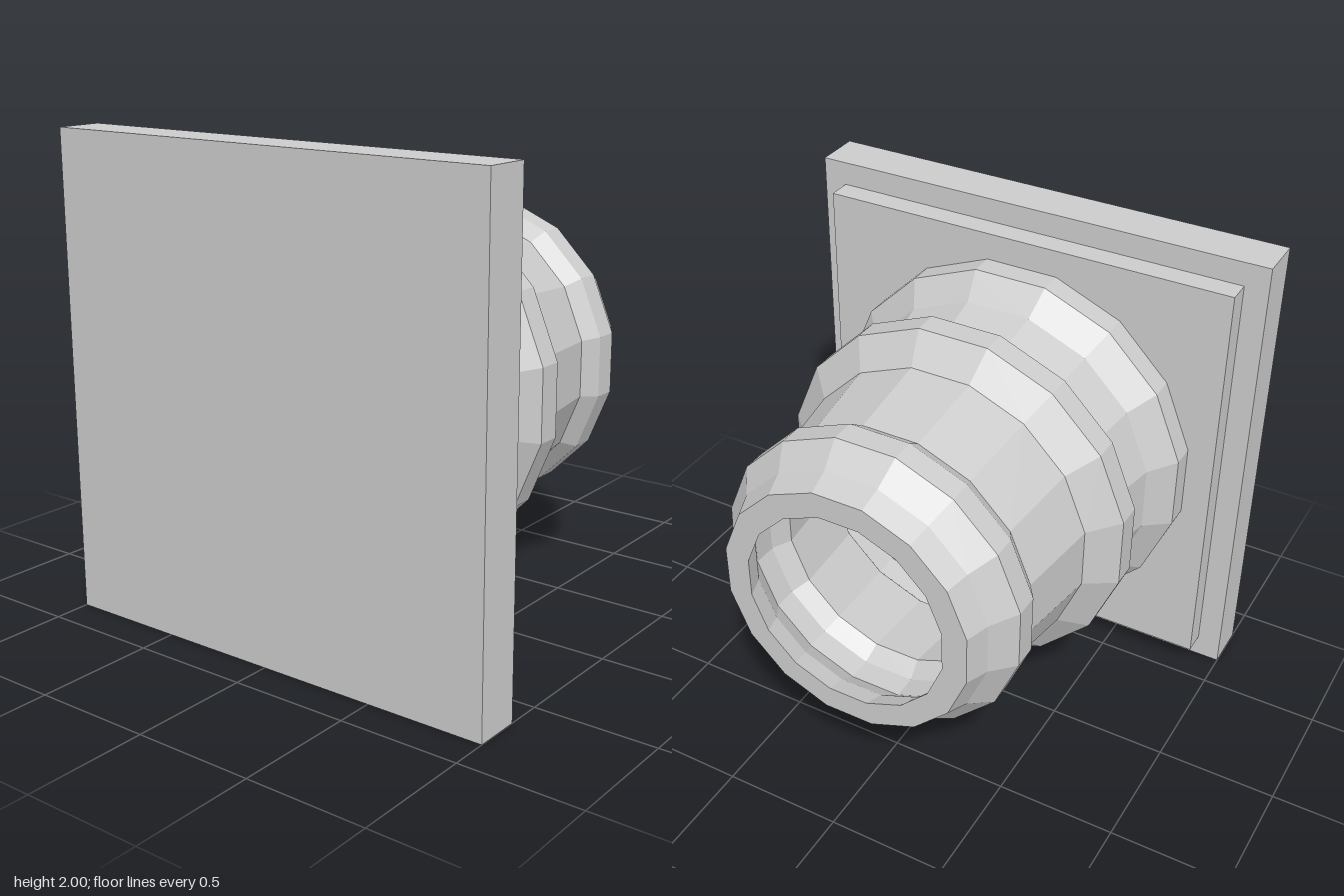
import * as THREE from 'three';

const SIDES = 16;
const WALL = 0.105;

export function createModel() {
  const model = new THREE.Group();
  const grey = new THREE.MeshStandardMaterial({ color: 0xcccccc });
  grey.name = 'plain grey';

  function add(name, geometry, z) {
    const mesh = new THREE.Mesh(geometry, grey);
    mesh.name = name;
    mesh.position.set(0, 1, z);
    model.add(mesh);
  }

  // Square base plate and its smaller step
  add('basePlate', new THREE.BoxGeometry(2, 2, 0.195), 0.7475);
  add('baseStep', new THREE.BoxGeometry(1.8, 1.8, 0.1), 0.6);

  // Outer wall of the hollow neck, as [radius, z] from the open end to the base
  const outer = [
    [0.535, -0.845], [0.57, -0.75], [0.65, -0.65], [0.65, -0.55],
    [0.602, -0.48], [0.65, -0.115], [0.768, -0.015], [0.768, 0.09],
    [0.667, 0.185], [0.703, 0.35], [0.8, 0.45], [0.8, 0.55],
  ];
  // The bore follows the outer wall at a constant thickness
  const inner = outer.map(([r, z]) => [r - WALL, z]).reverse();
  const profile = [...inner, ...outer].map(([r, z]) => new THREE.Vector2(r, z));

  // Faceted neck, turned so that flats face up, down and sideways
  const neck = new THREE.LatheGeometry(profile, SIDES, Math.PI / SIDES)
    .rotateX(Math.PI / 2)
    .toNonIndexed();
  neck.computeVertexNormals();
  add('neck', neck, 0);

  return model;
}
